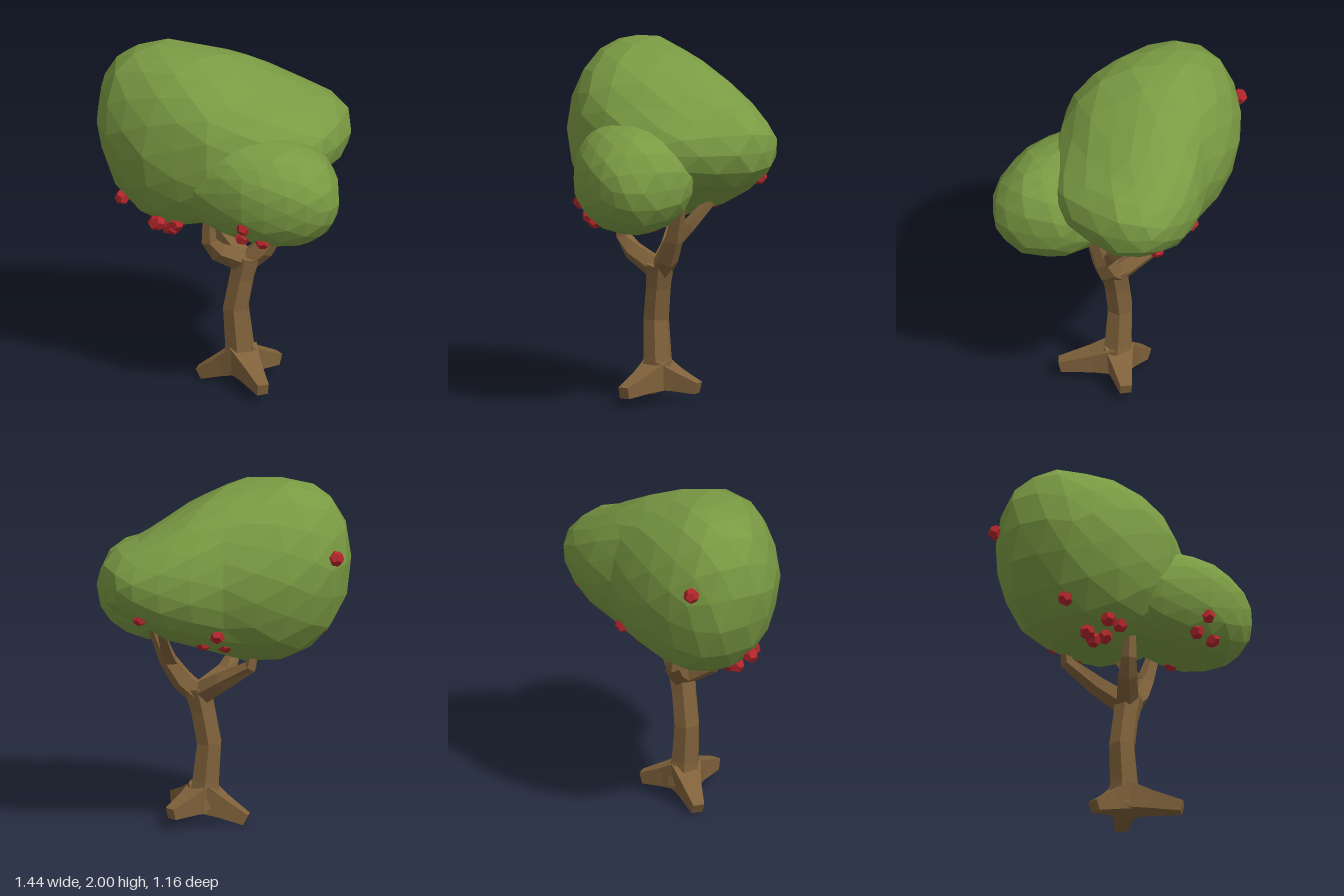
import * as THREE from 'three';

const leaf = new THREE.MeshStandardMaterial({ color: 0x7a9a43, flatShading: true });
leaf.name = 'leafGreen';
const bark = new THREE.MeshStandardMaterial({ color: 0x80623b, flatShading: true });
bark.name = 'barkBrown';
const red = new THREE.MeshStandardMaterial({ color: 0xb3262c, flatShading: true });
red.name = 'fruitRed';

const Y = new THREE.Vector3(0, 1, 0);
const Z = new THREE.Vector3(0, 0, 1);

// Faceted tapering limb through rings of [x, y, z, radius], capped at both ends
function limb(name, rings, sides, ref) {
  const pts = rings.map(r => new THREE.Vector3(r[0], r[1], r[2]));
  const pos = [], index = [];
  pts.forEach((p, i) => {
    const t = pts[Math.min(i + 1, pts.length - 1)].clone().sub(pts[Math.max(i - 1, 0)]).normalize();
    const a = ref.clone().cross(t).normalize();
    const b = t.clone().cross(a);
    for (let j = 0; j < sides; j++) {
      const k = ((j + 0.5) / sides) * Math.PI * 2;
      const v = p.clone().addScaledVector(a, rings[i][3] * Math.cos(k)).addScaledVector(b, rings[i][3] * Math.sin(k));
      pos.push(v.x, v.y, v.z);
    }
  });
  const last = (pts.length - 1) * sides;
  for (let j = 0; j < sides; j++) {
    const n = (j + 1) % sides;
    for (let o = 0; o < last; o += sides) {
      index.push(o + j, o + n, o + sides + n, o + j, o + sides + n, o + sides + j);
    }
    if (j > 0 && j < sides - 1) index.push(0, j + 1, j, last, last + j, last + j + 1);
  }
  const g = new THREE.BufferGeometry();
  g.setAttribute('position', new THREE.Float32BufferAttribute(pos, 3));
  g.setIndex(index);
  g.computeVertexNormals();
  const m = new THREE.Mesh(g, bark);
  m.name = name;
  return m;
}

// Leaf mass: a faceted sphere whose height, depth and centre vary along x.
// Each station is [u, centreY, centreZ, halfHeight, frontDepth, backDepth], u from -1 to 1.
function foliage(name, cx, rx, bulge, stations) {
  const g = new THREE.IcosahedronGeometry(1, 3);
  const p = g.attributes.position;
  for (let i = 0; i < p.count; i++) {
    const u = p.getX(i), v = p.getY(i), w = p.getZ(i);
    let s = 0;
    while (s < stations.length - 2 && u > stations[s + 1][0]) s++;
    const A = stations[s], B = stations[s + 1];
    const f = (u - A[0]) / (B[0] - A[0]);
    const [, cy, cz, hy, front, back] = A.map((q, k) => q + (B[k] - q) * f);
    // slight unevenness, and a fuller front
    const k = 1.01 + 0.015 * Math.sin(u * 9 + v * 7) * Math.cos(w * 8 - v * 5);
    const full = k + (w > 0 ? bulge * v * v * w * w : 0);
    p.setXYZ(i, cx + rx * u * k, cy + hy * v * full, cz + (w > 0 ? front : back) * w * full);
  }
  g.computeVertexNormals();
  const m = new THREE.Mesh(g, leaf);
  m.name = name;
  return m;
}

export function createModel() {
  const tree = new THREE.Group();
  tree.name = 'fruitTree';

  // Crown
  tree.add(foliage('mainFoliage', -0.018, 0.7, 0.25, [
    [-1, 1.58, -0.09, 0.73, 0.58, 0.48],
    [-0.69, 1.515, -0.07, 0.625, 0.5, 0.475],
    [-0.33, 1.485, -0.05, 0.546, 0.477, 0.465],
    [0.02, 1.49, -0.07, 0.47, 0.5, 0.44],
    [0.45, 1.465, -0.2, 0.375, 0.57, 0.425],
    [0.73, 1.465, -0.28, 0.32, 0.71, 0.39],
    [1, 1.47, -0.24, 0.42, 0.75, 0.55],
  ]));
  tree.add(foliage('frontFoliage', 0.2, 0.515, 0.12, [
    [-1, 1.38, 0.08, 0.36, 0.36, 0.3],
    [-0.48, 1.325, 0.14, 0.3, 0.335, 0.33],
    [0.04, 1.315, 0.28, 0.292, 0.285, 0.38],
    [0.52, 1.305, 0.29, 0.334, 0.34, 0.4],
    [0.85, 1.3, 0.31, 0.38, 0.37, 0.48],
    [1, 1.29, 0.35, 0.4, 0.4, 0.5],
  ]));

  // Trunk
  tree.add(limb('trunk', [
    [0.11, 0.1, 0.01, 0.1], [0.1, 0.25, 0.015, 0.085], [0.08, 0.47, 0.015, 0.077],
    [0.115, 0.66, 0.015, 0.075], [0.145, 0.79, 0.015, 0.085],
  ], 6, Z));

  // Roots
  const roots = {
    rightRoot: [-0.13, 0.036, -0.02],
    frontRoot: [0.28, 0.09, 0.29],
    backRoot: [0.29, 0.095, -0.155],
  };
  for (const [name, [x, y, z]] of Object.entries(roots)) {
    const mid = f => [0.11 + (x - 0.11) * f, 0.16 + (y - 0.16) * f, 0.01 + (z - 0.01) * f];
    tree.add(limb(name, [[...mid(0), 0.12], [...mid(0.45), 0.08], [x, y, z, 0.046]], 4, Y));
  }

  // Branches
  tree.add(limb('leftBranch', [
    [0.13, 0.74, 0.01, 0.065], [0.23, 0.83, 0.01, 0.066], [0.31, 0.95, 0, 0.052], [0.4, 1.17, 0, 0.036],
  ], 5, Z));
  tree.add(limb('leftTwig', [[0.29, 0.93, 0, 0.045], [0.32, 1.03, -0.09, 0.04], [0.34, 1.16, -0.21, 0.03]], 4, Z));
  tree.add(limb('backBranch', [
    [0.13, 0.75, 0.01, 0.07], [0.0, 0.85, -0.1, 0.058], [-0.16, 0.96, -0.19, 0.04], [-0.18, 1.08, -0.19, 0.03],
  ], 5, Z));
  tree.add(limb('frontBranch', [
    [0.13, 0.75, 0.01, 0.07], [-0.01, 0.85, 0.12, 0.058], [-0.05, 0.93, 0.165, 0.045], [-0.05, 1.1, 0.175, 0.034],
  ], 5, Z));

  // Fruit
  const fruitGeometry = new THREE.DodecahedronGeometry(0.045);
  [
    [-0.55, 1.13, 0.1], [-0.32, 1.05, 0.23], [-0.22, 1.05, 0.23], [-0.36, 0.99, 0.11],
    [-0.29, 0.97, 0.1], [-0.25, 0.99, 0.15], [0.21, 1.18, 0.52], [0.19, 1.095, 0.46],
    [0.31, 1.085, 0.475], [0.37, 1.055, 0.14], [0.45, 1.3, -0.46], [0.02, 1.19, -0.415],
    [0.1, 1.125, -0.32], [-0.02, 1.11, -0.305], [-0.645, 1.62, -0.32],
  ].forEach((c, i) => {
    const fruit = new THREE.Mesh(fruitGeometry, red);
    fruit.name = 'fruit' + (i + 1);
    fruit.position.set(...c);
    fruit.rotation.set(i, i * 2, 0);
    tree.add(fruit);
  });

  return tree;
}
